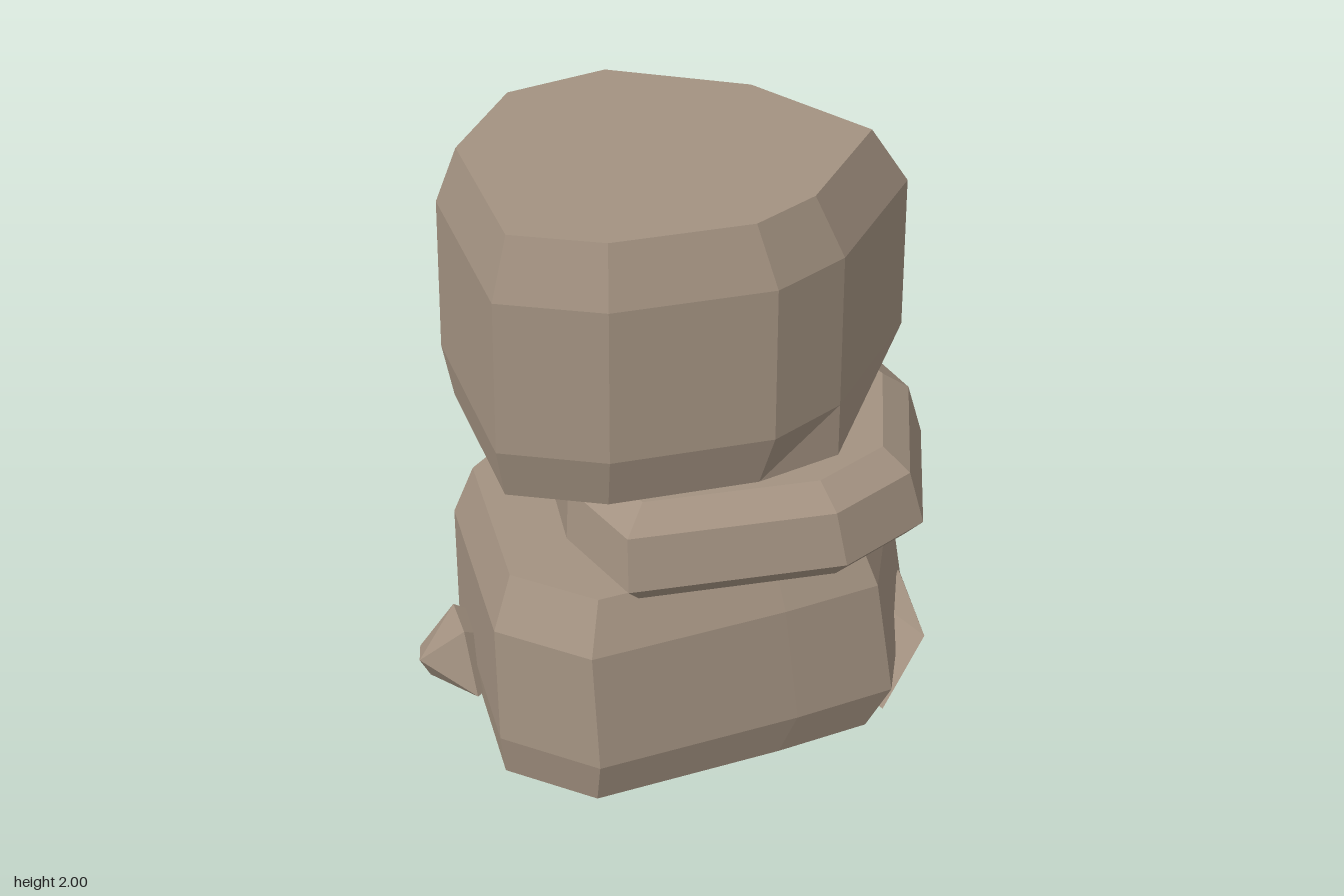
import * as THREE from 'three';
import { ConvexGeometry } from 'three/addons/geometries/ConvexGeometry.js';

const stone = new THREE.MeshStandardMaterial({ color: 0xa39281, flatShading: true, side: THREE.DoubleSide });
stone.name = 'warm grey stone';

function stoneMesh(name, positions) {
  const geo = new THREE.BufferGeometry();
  geo.setAttribute('position', new THREE.Float32BufferAttribute(positions, 3));
  geo.computeVertexNormals();
  const mesh = new THREE.Mesh(geo, stone);
  mesh.name = name;
  return mesh;
}

// Faceted boulder: one outline [x, z] repeated at several [height, scale, shiftX, shiftZ] levels.
// The underside is left open when it rests on the ground.
function boulder(name, outline, [cx, cz], levels, adjust) {
  const n = outline.length, pos = [];
  const rings = levels.map(([y, s, dx, dz]) => outline.map(([x, z]) =>
    [cx + (x - cx) * s + dx, y, cz + (z - cz) * s + dz]));
  if (adjust) adjust(rings);
  const tri = (a, b, c) => pos.push(...a, ...b, ...c);
  for (let l = 0; l < rings.length - 1; l++) {
    for (let i = 0; i < n; i++) {
      const j = (i + 1) % n, lo = rings[l], hi = rings[l + 1];
      tri(lo[i], lo[j], hi[j]);
      tri(lo[i], hi[j], hi[i]);
    }
  }
  const top = rings[rings.length - 1], base = rings[0];
  for (let i = 1; i < n - 1; i++) {
    tri(top[0], top[i], top[i + 1]);
    if (base[0][1] > 0) tri(base[0], base[i + 1], base[i]);
  }
  return stoneMesh(name, pos);
}

// Small angular chip: hull of a handful of corners, without the faces lying on the ground
function chip(name, corners) {
  const p = new ConvexGeometry(corners.map(c => new THREE.Vector3(...c))).attributes.position.array;
  const pos = [];
  for (let i = 0; i < p.length; i += 9) {
    if (Math.max(p[i + 1], p[i + 4], p[i + 7]) > 0.001) pos.push(...p.slice(i, i + 9));
  }
  return stoneMesh(name, pos);
}

export function createModel() {
  const group = new THREE.Group();
  group.name = 'stackedStones';

  // Wide base stone
  group.add(boulder('baseStone',
    [[0.14, 0.735], [0.56, 0.46], [0.87, -0.13], [0.32, -0.56], [-0.05, -0.685],
      [-0.5, -0.63], [-0.875, -0.07], [-0.77, 0.27], [-0.17, 0.59]],
    [0, 0], [[0, 0.93, -0.03, -0.02], [0.17, 1, 0, 0], [0.6, 0.955, -0.025, -0.02], [0.77, 0.86, -0.02, -0.035]]));

  // Thin slab in the middle
  group.add(boulder('middleSlab',
    [[0.22, 0.765], [0.61, 0.46], [0.78, -0.05], [0.54, -0.43], [0.08, -0.54],
      [-0.28, -0.43], [-0.58, -0.03], [-0.655, 0.3], [-0.11, 0.72]],
    [0.07, 0.1], [[0.765, 0.91, 0, 0], [0.835, 1, 0, 0], [1.015, 0.95, -0.01, -0.015], [1.08, 0.81, -0.005, -0.02]]));

  // Tall top stone; one front corner stays flush down to the underside
  group.add(boulder('topStone',
    [[0.06, 0.54], [0.545, 0.405], [0.515, -0.13], [0.25, -0.61], [-0.11, -0.76],
      [-0.515, -0.62], [-0.815, -0.085], [-0.63, 0.21], [-0.21, 0.505]],
    [-0.14, -0.11], [[1.08, 0.925, -0.005, -0.015], [1.27, 1, 0, 0], [1.8, 0.99, 0.008, 0], [2, 0.86, -0.008, 0]],
    rings => { rings[0][0] = [0.06, 1.08, 0.54]; }));

  // Chips leaning on the base and reaching into it
  group.add(chip('frontChip', [
    [0.2, 0, 0.66], [0.7, 0, 0.38], [0.36, 0.24, 0.7], [0.34, 0.3, 0.52], [0.49, 0.325, 0.49],
    [0.58, 0.25, 0.42], [0.64, 0.17, 0.25], [0.63, 0, 0.25], [0.22, 0.1, 0.25]]));
  group.add(chip('backChip', [
    [-0.67, 0, -0.61], [-0.7, 0.07, -0.35], [-0.76, 0.15, -0.56], [-0.69, 0.13, -0.63],
    [-0.48, 0.15, -0.68], [-0.6, 0.3, -0.55], [-0.68, 0.3, -0.42], [-0.35, 0.1, -0.35]]));

  return group;
}
